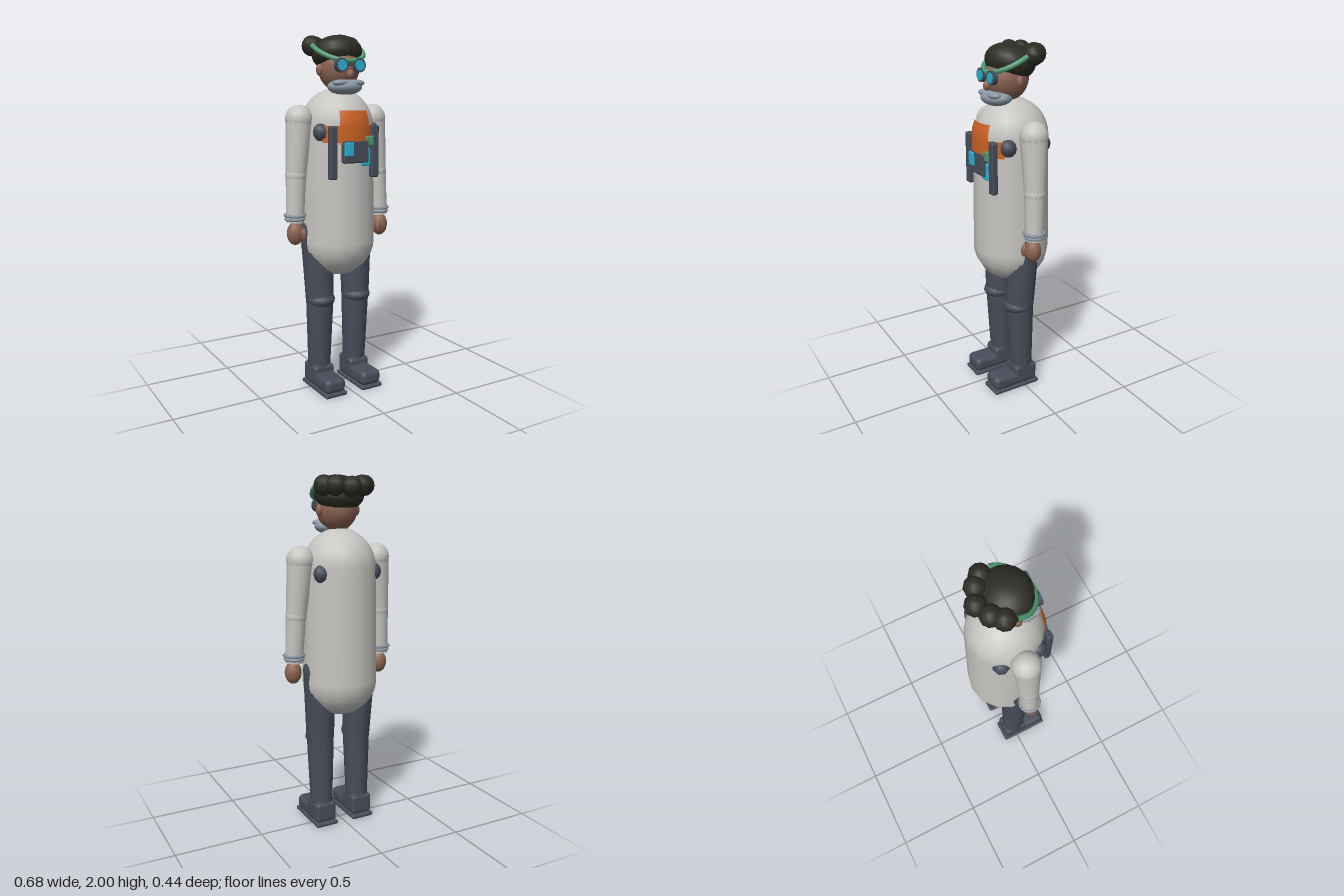
import * as THREE from 'three';
import { RoundedBoxGeometry } from 'three/addons/geometries/RoundedBoxGeometry.js';

const mat = (name, color, side = THREE.FrontSide) => {
  const m = new THREE.MeshStandardMaterial({ color, side });
  m.name = name;
  return m;
};

export function createModel() {
  const model = new THREE.Group();
  model.name = 'inventor';
  const coat = mat('coat', 0xc6c5c1);
  const slate = mat('slate', 0x474d59);
  const hair = mat('hair', 0x2d2c25);
  const skin = mat('skin', 0x8c6452);
  const steel = mat('steel', 0x8c98a4);
  const orange = mat('orange', 0xcb6224, THREE.DoubleSide);
  const cyan = mat('cyan', 0x27b4d9);
  const green = mat('green', 0x509c71);

  const add = (name, geo, material, x = 0, y = 0, z = 0) => {
    const m = new THREE.Mesh(geo, material);
    m.name = name;
    m.position.set(x, y, z);
    model.add(m);
    return m;
  };
  const ball = (name, material, x, y, z, rx, ry = rx, rz = rx, w = 16, h = 12) => {
    const m = add(name, new THREE.SphereGeometry(1, w, h), material, x, y, z);
    m.scale.set(rx, ry, rz);
    return m;
  };
  const box = (name, material, x, y, z, w, h, d, r = 0.008) =>
    add(name, new RoundedBoxGeometry(w, h, d, 2, r), material, x, y, z);
  // Tapered limb between two points, a (top) and b (bottom)
  const limb = (name, material, a, b, ra, rb) => {
    const A = new THREE.Vector3(...a), B = new THREE.Vector3(...b);
    const dir = A.clone().sub(B);
    const m = add(name, new THREE.CylinderGeometry(ra, rb, dir.length(), 14), material);
    m.position.copy(A).add(B).multiplyScalar(0.5);
    m.quaternion.setFromUnitVectors(new THREE.Vector3(0, 1, 0), dir.normalize());
    return m;
  };

  // Long coat: a tall capsule, slightly wider at the hem
  const hemY = 0.87, chestY = 1.51, hemR = 0.215, chestR = 0.205;
  const profile = [];
  for (let i = 0; i <= 8; i++) {
    const a = (i / 8) * Math.PI / 2;
    profile.push(new THREE.Vector2(hemR * Math.sin(a), hemY - 0.21 * Math.cos(a)));
  }
  for (let i = 0; i <= 8; i++) {
    const a = (i / 8) * Math.PI / 2;
    profile.push(new THREE.Vector2(chestR * Math.cos(a), chestY + 0.21 * Math.sin(a)));
  }
  add('coat', new THREE.LatheGeometry(profile, 14), coat, 0, 0, -0.006);

  // Orange bib and chest belt, wrapped around the coat
  const wrap = (name, y0, y1, half) => {
    const pts = [];
    for (let i = 0; i <= 5; i++) {
      const y = y0 + (y1 - y0) * i / 5;
      const t = Math.max(0, y - chestY) / 0.21;
      pts.push(new THREE.Vector2(chestR * Math.sqrt(1 - t * t) + 0.011, y));
    }
    add(name, new THREE.LatheGeometry(pts, 8, -half, half * 2), orange, 0, 0, -0.006);
  };
  wrap('bib', 1.42, 1.6, 0.44);
  wrap('chestBelt', 1.43, 1.52, 0.88);

  // Chest devices
  box('controlUnit', slate, 0, 1.38, 0.185, 0.155, 0.12, 0.055);
  box('screen', cyan, -0.047, 1.396, 0.205, 0.056, 0.074, 0.03, 0.006);
  box('greenModule', green, 0.09, 1.436, 0.185, 0.052, 0.054, 0.04);
  box('cyanModule', cyan, 0.068, 1.348, 0.18, 0.062, 0.095, 0.035);

  // Head, nose and beard
  ball('head', skin, 0, 1.825, 0.02, 0.113, 0.125, 0.122);
  ball('nose', skin, 0, 1.79, 0.14, 0.02, 0.026, 0.022, 10, 8);
  ball('beard', steel, 0, 1.725, 0.085, 0.1, 0.045, 0.08);

  // Hair cap and a row of curls around the back
  ball('hairCap', hair, 0, 1.905, 0.0, 0.142, 0.095, 0.135, 20, 12).rotation.x = -0.25;
  [[0, -0.147, 1.938], [0.078, -0.112, 1.945], [0.123, -0.065, 1.945]].forEach(([x, z, y]) => {
    for (const s of x ? [1, -1] : [1]) ball('hairCurl', hair, s * x, y, z, 0.055, 0.056, 0.055, 10, 8);
  });

  // Green headband dipping towards the front
  const band = [];
  for (let i = 0; i <= 12; i++) {
    const t = -0.12 + (Math.PI + 0.24) * i / 12;
    band.push(new THREE.Vector3(0.145 * Math.cos(t), 1.935 - 0.075 * Math.sin(t), 0.14 * Math.sin(t)));
  }
  add('headband', new THREE.TubeGeometry(new THREE.CatmullRomCurve3(band), 16, 0.014, 8), green);
  box('goggleBridge', slate, 0, 1.84, 0.144, 0.06, 0.014, 0.012, 0.004);

  // Mirrored parts
  for (const s of [1, -1]) {
    // Face
    ball('ear', skin, s * 0.115, 1.815, 0.008, 0.017, 0.032, 0.021, 10, 8);
    ball('moustache', steel, s * 0.045, 1.745, 0.125, 0.055, 0.019, 0.032, 12, 8);
    const rim = add('goggleRim', new THREE.CylinderGeometry(0.038, 0.038, 0.026, 16), slate, s * 0.055, 1.838, 0.138);
    const lens = add('goggleLens', new THREE.CylinderGeometry(0.028, 0.028, 0.006, 16), cyan, s * 0.055, 1.838, 0.152);
    rim.rotation.x = lens.rotation.x = Math.PI / 2;

    // Harness
    box('harnessBar', slate, s * 0.13, 1.378, 0.18, 0.047, 0.286, 0.036, 0.01);
    for (const z of [0.105, -0.105]) ball('harnessKnob', slate, s * 0.158, 1.485, z, 0.048, 0.05, 0.046, 8, 6);

    // Arm
    const shoulder = [s * 0.235, 1.553, -0.004], elbow = [s * 0.262, 1.25, 0.004], wrist = [s * 0.275, 0.99, 0.012];
    ball('shoulder', coat, ...shoulder, 0.077);
    limb('upperArm', coat, shoulder, elbow, 0.075, 0.057);
    ball('elbow', coat, ...elbow, 0.059);
    limb('foreArm', coat, elbow, wrist, 0.057, 0.05);
    [[1.03, 0.055], [1.01, 0.05]].forEach(([y, r]) => {
      add('cuffRing', new THREE.TorusGeometry(r, 0.009, 6, 16), steel, s * 0.274, y, 0.011).rotation.x = Math.PI / 2;
    });
    ball('hand', skin, s * 0.277, 0.93, 0.02, 0.048, 0.065, 0.045);
    ball('thumb', skin, s * 0.245, 0.925, 0.055, 0.018, 0.036, 0.02, 10, 8);

    // Leg
    const hip = [s * 0.13, 0.93, -0.01], knee = [s * 0.118, 0.53, 0.006], ankle = [s * 0.118, 0.14, -0.004];
    ball('hip', slate, ...hip, 0.092);
    limb('thigh', slate, hip, knee, 0.092, 0.082);
    ball('knee', slate, s * 0.118, 0.53, 0.014, 0.083, 0.048, 0.088);
    limb('shin', slate, knee, ankle, 0.08, 0.066);
    ball('ankle', slate, ...ankle, 0.067, 0.03, 0.067);

    // Shoe
    box('sole', slate, s * 0.118, 0.012, 0.058, 0.138, 0.024, 0.298, 0.01);
    box('shoeUpper', slate, s * 0.118, 0.06, 0.07, 0.13, 0.084, 0.264, 0.03);
    box('shoeAnkle', slate, s * 0.118, 0.082, -0.006, 0.128, 0.116, 0.145, 0.02);
  }
  return model;
}
